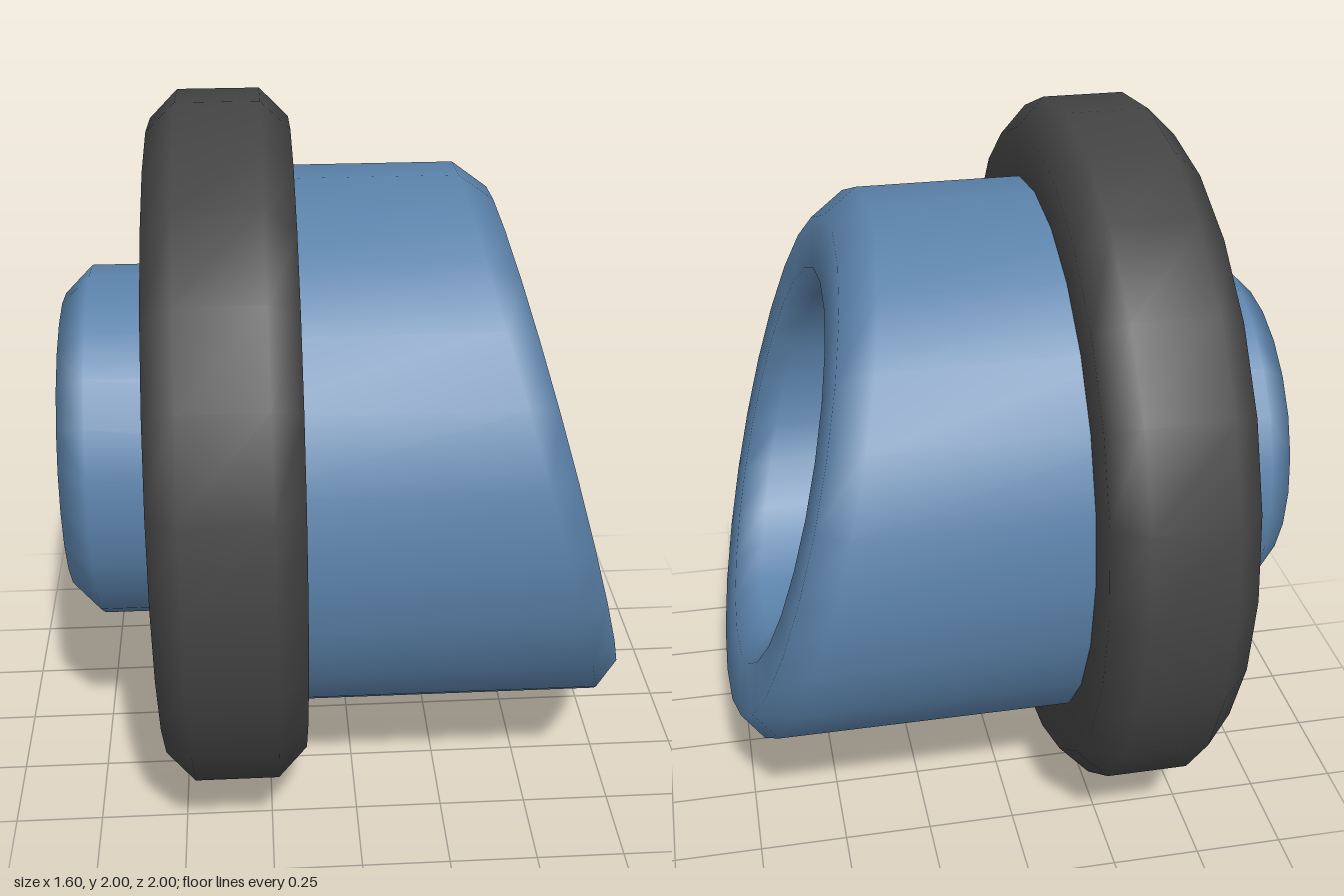
import * as THREE from 'three';
import { mergeVertices } from 'three/addons/utils/BufferGeometryUtils.js';

const SIDES = 24;
const SLANT = 0.274; // lean of the cut end, in x per unit of height

// Turned surface about the x axis from [radius, x, slanted] points,
// with area-weighted smooth normals so the broad faces stay flat.
function turned(points) {
  let geo = new THREE.LatheGeometry(points.map(([r, x]) => new THREE.Vector2(r, x)), SIDES);
  geo.rotateZ(-Math.PI / 2);
  const pos = geo.attributes.position;
  for (let i = 0; i < pos.count; i++) {
    if (points[i % points.length][2]) pos.setX(i, pos.getX(i) - SLANT * pos.getY(i));
  }
  geo.deleteAttribute('uv');
  geo.deleteAttribute('normal');
  geo = mergeVertices(geo, 1e-4);
  geo.computeVertexNormals();
  return geo;
}

export function createModel() {
  const group = new THREE.Group();
  const blue = new THREE.MeshStandardMaterial({ color: 0x5b82aa, side: THREE.DoubleSide });
  const darkGrey = new THREE.MeshStandardMaterial({ color: 0x444444, side: THREE.DoubleSide });
  blue.name = 'blue';
  darkGrey.name = 'darkGrey';

  const add = (name, points, material) => {
    const mesh = new THREE.Mesh(turned(points), material);
    mesh.name = name;
    mesh.position.y = 1;
    group.add(mesh);
  };

  // Thin shell: outer sleeve, slanted rim, inner tube and closed stub
  add('sleeveAndStub', [
    [0.783, -0.35], [0.783, 0.525, true], [0.71, 0.605, true],
    [0.565, 0.605, true], [0.51, 0.535, true],
    [0.51, -0.72], [0.43, -0.8], [0, -0.8],
  ], blue);

  // Collar with chamfered outer edges, open at the back
  add('collar', [
    [0.787, -0.54], [0.92, -0.54], [1, -0.46],
    [1, -0.23], [0.92, -0.15], [0.77, -0.15],
  ], darkGrey);

  // Bore of the collar, ending in a small lip
  add('collarBore', [[0.77, -0.15], [0.77, -0.165], [0.787, -0.165], [0.787, -0.54]], darkGrey);

  return group;
}
